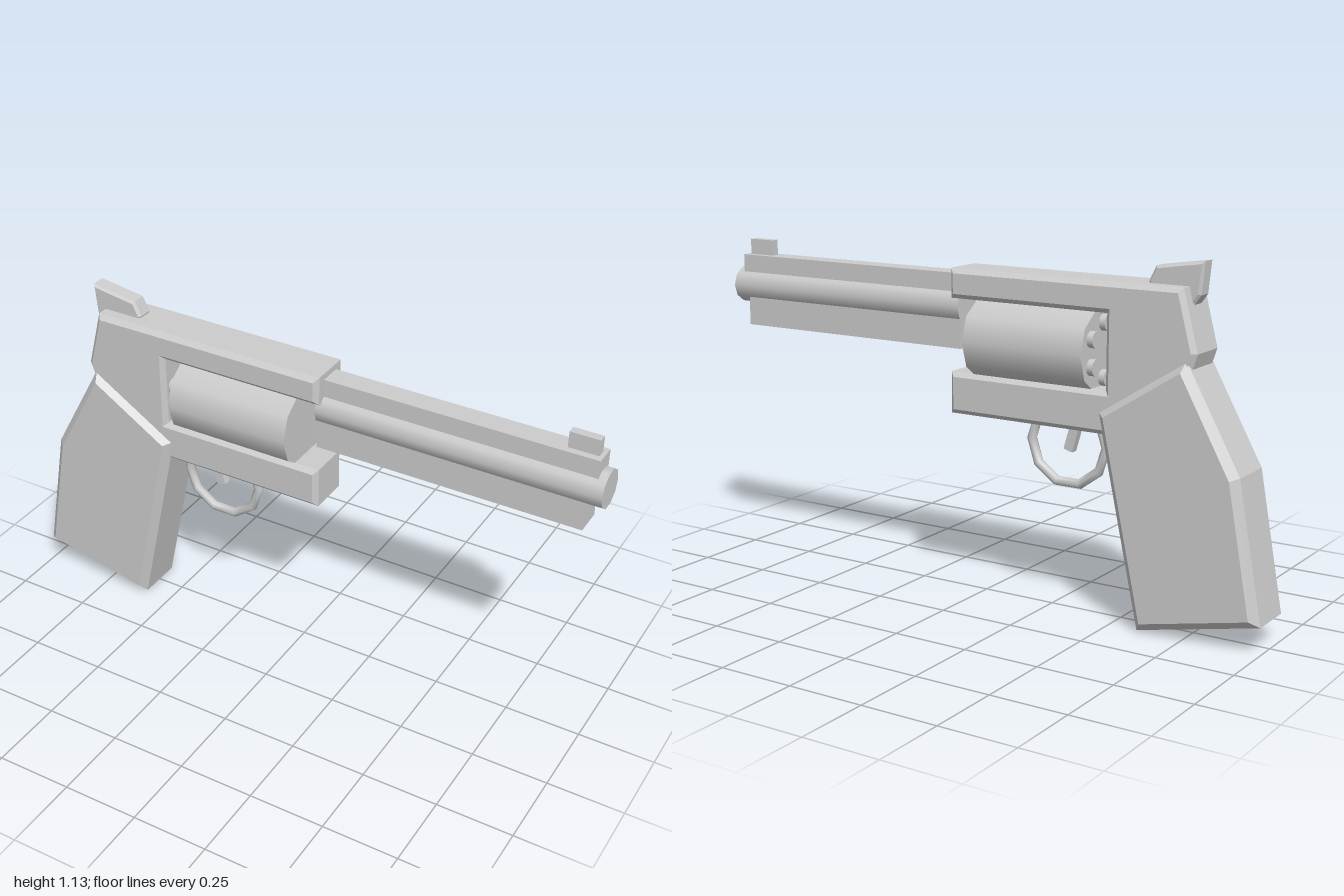
import * as THREE from 'three';

export function createModel() {
  const group = new THREE.Group();
  const grey = new THREE.MeshStandardMaterial({ color: 0xcccccc });
  grey.name = 'light grey';

  const add = (name, geometry, x = 0, y = 0, z = 0) => {
    const mesh = new THREE.Mesh(geometry, grey);
    mesh.name = name;
    mesh.position.set(x, y, z);
    group.add(mesh);
    return mesh;
  };

  // Side outline extruded across z with chamfered edges
  const plate = (name, points, halfWidth, bevel) => {
    const shape = new THREE.Shape(points.map(([x, y]) => new THREE.Vector2(x, y)));
    const depth = 2 * (halfWidth - bevel);
    const geometry = new THREE.ExtrudeGeometry(shape, {
      depth, bevelEnabled: true, bevelSegments: 1,
      bevelSize: bevel, bevelThickness: bevel, bevelOffset: -bevel,
    });
    return add(name, geometry.translate(0, 0, -depth / 2));
  };

  // Box given by its x and y ranges
  const bar = (name, x0, x1, y0, y1, halfWidth) =>
    add(name, new THREE.BoxGeometry(x1 - x0, y1 - y0, 2 * halfWidth), (x0 + x1) / 2, (y0 + y1) / 2);

  // Cylinder lying along x
  const rod = (name, x0, x1, radius, y, z = 0, sides = 10) =>
    add(name, new THREE.CylinderGeometry(radius, radius, x1 - x0, sides).rotateZ(-Math.PI / 2),
      (x0 + x1) / 2, y, z);

  // Body
  plate('frame', [
    [-0.72, 1.06], [-0.77, 0.87], [-0.74, 0.78], [-0.6, 0.595], [0.09, 0.595], [0.09, 0.73],
    [-0.47, 0.73], [-0.47, 0.965], [0.09, 0.965], [0.09, 1.06],
  ], 0.08, 0.015);
  plate('grip', [
    [-0.74, 0.85], [-0.92, 0.525], [-1, 0.087], [-0.595, 0], [-0.45, 0.665],
  ], 0.1, 0.025);
  plate('hammer', [
    [-0.765, 1.135], [-0.755, 1.035], [-0.73, 1.0], [-0.6, 1.03], [-0.585, 1.065], [-0.608, 1.112],
  ], 0.03, 0.008);

  // Rotating drum with six rims at the back
  rod('drum', -0.42, 0.005, 0.135, 0.84);
  for (let i = 0; i < 6; i++) {
    const a = Math.PI / 6 + (i * Math.PI) / 3;
    rod('drumRim', -0.44, -0.415, 0.026, 0.84 + 0.085 * Math.sin(a), 0.085 * Math.cos(a));
  }

  // Barrel assembly
  rod('barrel', 0.07, 1, 0.062, 0.935);
  bar('topRib', 0.07, 0.975, 0.95, 1.04, 0.037);
  bar('underBarrel', 0.07, 0.948, 0.8, 0.92, 0.046);
  bar('frontSight', 0.867, 0.962, 1.03, 1.092, 0.014);

  // Trigger and its guard
  add('triggerGuard', new THREE.TorusGeometry(0.134, 0.016, 8, 10), -0.305, 0.535);
  const trigger = add('trigger', new THREE.BoxGeometry(0.032, 0.13, 0.026), -0.327, 0.575);
  trigger.rotation.z = 0.28;

  return group;
}
